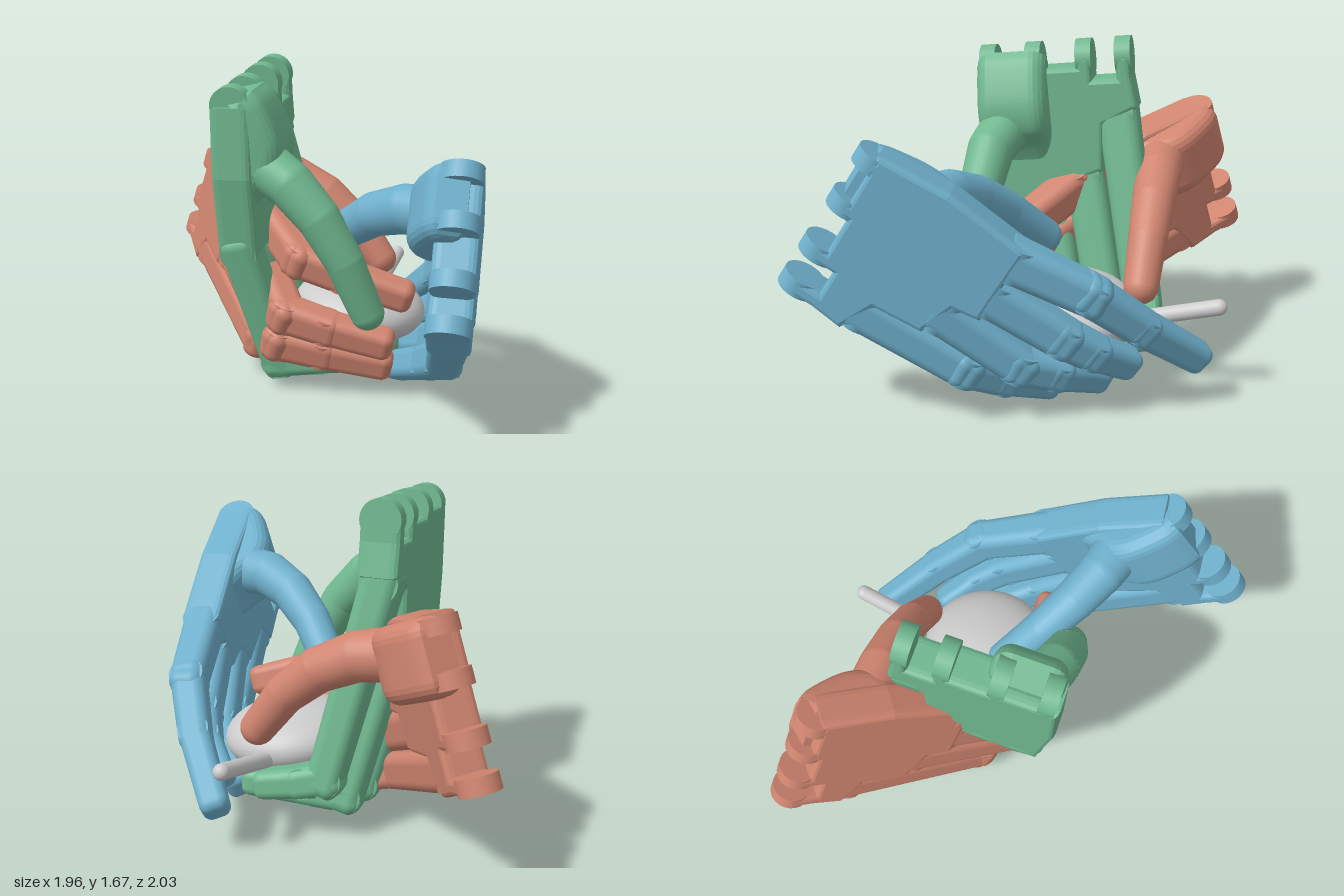
import * as THREE from 'three';
import { RoundedBoxGeometry } from 'three/addons/geometries/RoundedBoxGeometry.js';

const V = (x, y, z) => new THREE.Vector3(x, y, z);
const Y = V(0, 1, 0);
const FINGERS = ['indexFinger', 'middleFinger', 'ringFinger', 'littleFinger'];
const PRONGS = [0.045, 0.28, 0.54, 0.74];

function add(parent, geometry, material, name) {
  const m = new THREE.Mesh(geometry, material);
  m.name = name;
  parent.add(m);
  return m;
}

// Tapered round link between two points with a ball at its end
function roundLink(parent, mat, a, b, ra, rb, name) {
  const link = add(parent, new THREE.CylinderGeometry(rb, ra, a.distanceTo(b), 24), mat, name);
  link.position.copy(a).lerp(b, 0.5);
  link.quaternion.setFromUnitVectors(Y, b.clone().sub(a).normalize());
  add(parent, new THREE.SphereGeometry(rb, 24, 16), mat, name + 'Joint').position.copy(b);
}

// Rounded block link, its width following the side direction
function blockLink(parent, mat, a, b, w, side) {
  const d = b.clone().sub(a).normalize();
  const s = side.clone().addScaledVector(d, -side.dot(d)).normalize();
  const n = s.clone().cross(d);
  const len = a.distanceTo(b) + w * 0.9;
  const geo = new RoundedBoxGeometry(w, len, w * 0.92, 4, w * 0.3);
  // narrow towards the far end
  const p = geo.attributes.position;
  for (let i = 0; i < p.count; i++) {
    const k = 1 - 0.12 * (p.getY(i) / len + 0.5);
    p.setX(i, p.getX(i) * k);
    p.setZ(i, p.getZ(i) * k);
  }
  const link = add(parent, geo, mat, 'fingerLink');
  link.quaternion.setFromRotationMatrix(new THREE.Matrix4().makeBasis(s, d, n));
  link.position.copy(a).lerp(b, 0.5);
  // hinge barrel at the near end
  const hinge = add(parent, new THREE.CylinderGeometry(w * 0.45, w * 0.45, w * 0.8, 20), mat, 'fingerHinge');
  hinge.quaternion.setFromUnitVectors(Y, s);
  hinge.position.copy(a);
}

// Palm plate: notched wrist edge, stepped knuckle edge
function palmShape() {
  const s = new THREE.Shape();
  const notch = [0.1, 0.1, 0.13, 0.2];
  s.moveTo(0.015, 0.1);
  PRONGS.forEach((t, i) => {
    s.lineTo(-t + 0.04, notch[i]);
    s.lineTo(-t + 0.04, 0.08);
    s.lineTo(-t - 0.04, 0.08);
    s.lineTo(-t - 0.04, notch[Math.min(i + 1, 3)]);
  });
  s.lineTo(-0.8, 0.36);
  s.lineTo(-0.62, 0.44);
  s.lineTo(-0.6, 0.68);
  s.lineTo(-0.42, 0.74);
  s.lineTo(-0.4, 0.87);
  s.lineTo(0, 0.87);
  s.lineTo(0.04, 0.45);
  return s;
}

// Side profile of the swelling that carries the thumb
function thumbMountGeometry() {
  const s = new THREE.Shape();
  s.moveTo(0.06, 0.06);
  s.lineTo(0.03, 0.2);
  s.splineThru([[0.1, 0.26], [0.28, 0.33], [0.42, 0.32], [0.52, 0.24], [0.66, 0.17]]
    .map(([l, h]) => new THREE.Vector2(l, h)));
  s.lineTo(0.66, 0.06);
  return new THREE.ExtrudeGeometry(s, {
    depth: 0.2, bevelThickness: 0.08, bevelSize: 0.08, bevelOffset: -0.08, bevelSegments: 5,
  });
}

// Hand from a wrist corner, a direction across the palm, one along it,
// a bend and tip point per finger, and a bend and tip for the thumb
function makeHand(name, color, origin, across, along, fingers, thumb) {
  const hand = new THREE.Group();
  hand.name = name;
  const mat = new THREE.MeshStandardMaterial({ color });

  // frame: u to the index side, v to the fingers, n out of the palm
  const v = along.normalize();
  const n = across.negate().cross(v).normalize();
  const u = v.clone().cross(n);
  const at = (t, l, h) => origin.clone().addScaledVector(u, -t).addScaledVector(v, l).addScaledVector(n, h);

  // palm
  const palm = new THREE.Group();
  palm.name = 'palm';
  palm.position.copy(origin);
  palm.quaternion.setFromRotationMatrix(new THREE.Matrix4().makeBasis(u, v, n));
  hand.add(palm);
  const plate = new THREE.ExtrudeGeometry(palmShape(), {
    depth: 0.12, bevelThickness: 0.04, bevelSize: 0.025, bevelOffset: -0.025, bevelSegments: 3,
  });
  add(palm, plate, mat, 'palmPlate').position.z = 0.04;

  // rounded wrist prongs
  for (const t of PRONGS) {
    const prong = add(palm, new THREE.CylinderGeometry(0.1, 0.1, 0.08, 24), mat, 'wristProng');
    prong.rotation.z = Math.PI / 2;
    prong.position.set(-t, 0.1, 0.1);
  }
  // thumb mount: profile lies in the along/out plane
  const mount = add(palm, thumbMountGeometry(), mat, 'thumbMount');
  mount.quaternion.setFromRotationMatrix(new THREE.Matrix4().makeBasis(V(0, 1, 0), V(0, 0, 1), V(1, 0, 0)));
  mount.position.x = -0.27;

  // fingers: three links, slightly bowed between bend and tip
  const knuckleReach = [0.85, 0.85, 0.71, 0.4];
  fingers.forEach(([bend, tip], i) => {
    const finger = new THREE.Group();
    finger.name = FINGERS[i];
    hand.add(finger);
    const middle = bend.clone().lerp(tip, 0.48).addScaledVector(n, -0.025);
    const path = [at(0.09 + 0.2 * i, knuckleReach[i], 0.1), bend, middle, tip];
    for (let j = 0; j < 3; j++) blockLink(finger, mat, path[j], path[j + 1], 0.212 - 0.02 * j, u);
  });

  // thumb: round links along a curve
  const thumbGroup = new THREE.Group();
  thumbGroup.name = 'thumb';
  hand.add(thumbGroup);
  const path = new THREE.QuadraticBezierCurve3(at(0.13, 0.4, 0.2), ...thumb).getPoints(4);
  const radius = (j) => 0.13 - 0.011 * j;
  for (let j = 0; j < 4; j++)
    roundLink(thumbGroup, mat, path[j], path[j + 1], radius(j), radius(j + 1), 'thumbLink');
  return hand;
}

export function createModel() {
  const model = new THREE.Group();

  model.add(makeHand('blueHand', 0x6fb0cc,
    V(0.975, 1.36, 0.59), V(0.02, -0.83, 0.55), V(-0.09, -0.54, -0.84),
    [
      [V(0.73, 0.66, -0.4), V(0.4, 0.26, -0.85)],
      [V(0.72, 0.44, -0.27), V(0.52, 0.25, -0.53)],
      [V(0.72, 0.29, -0.07), V(0.49, 0.15, -0.39)],
      [V(0.76, 0.27, 0.18), V(0.48, 0.09, -0.15)],
    ],
    [V(0.4, 1.1, 0.27), V(0.1, 0.71, -0.07)]));

  model.add(makeHand('greenHand', 0x70b890,
    V(-0.385, 1.59, 0.34), V(0, 0.08, -1), V(0.01, -1, -0.1),
    [
      [V(-0.12, 0.14, 0.04), V(0.38, 0.19, 0.01)],
      [V(-0.12, 0.14, -0.17), V(0.38, 0.17, -0.2)],
      [V(-0.1, 0.16, -0.38), V(0.36, 0.17, -0.41)],
      [V(-0.06, 0.32, -0.56), V(0.22, 0.26, -0.59)],
    ],
    [V(0.18, 1.08, 0.32), V(0.37, 0.47, 0.17)]));

  model.add(makeHand('redHand', 0xd08570,
    V(-0.755, 1.3, -0.76), V(-0.33, -0.92, -0.2), V(0.51, -0.37, 0.77),
    [
      [V(0, 0.7, 0.08), V(0.5, 0.54, 0.04)],
      [V(-0.05, 0.43, 0.17), V(0.42, 0.31, 0.13)],
      [V(-0.1, 0.27, 0.13), V(0.4, 0.17, 0.05)],
      [V(-0.27, 0.19, -0.1), V(0.25, 0.12, -0.29)],
    ],
    [V(0, 0.99, -0.61), V(0.28, 0.54, -0.58)]));

  // held round object with a rod handle
  const grey = new THREE.MeshStandardMaterial({ color: 0xcccccc });
  const body = add(model, new THREE.SphereGeometry(1, 40, 24), grey, 'heldBody');
  body.scale.set(0.345, 0.17, 0.345);
  body.position.set(0.245, 0.38, -0.22);
  body.rotation.z = -0.1;
  roundLink(model, grey, V(0.25, 0.34, -0.48), V(0.3, 0.47, -0.96), 0.04, 0.04, 'handle');
  return model;
}
